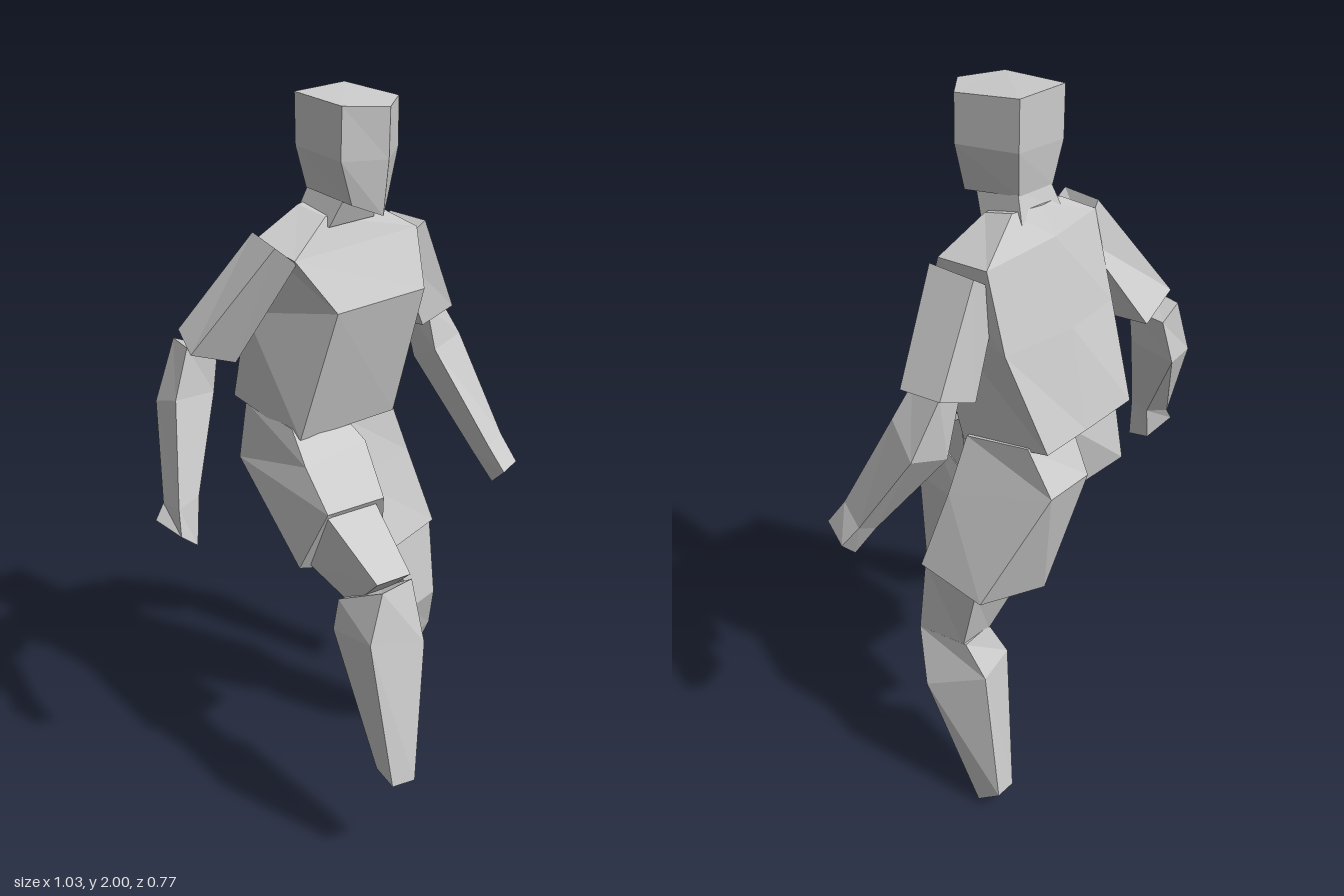
import * as THREE from 'three';

const grey = new THREE.MeshStandardMaterial({ color: 0xcccccc, flatShading: true });
grey.name = 'plain grey';

// Closed faceted solid through rings of corners, listed from top to bottom.
// Each ring runs front right, front left, back left, back right.
function loft(name, rings) {
  const pos = [];
  const tri = (a, b, c) => pos.push(...a, ...b, ...c);
  const n = rings[0].length;
  for (let r = 0; r < rings.length - 1; r++) {
    for (let i = 0; i < n; i++) {
      const j = (i + 1) % n;
      const [a, b, c, d] = [rings[r][i], rings[r][j], rings[r + 1][i], rings[r + 1][j]];
      tri(a, c, d);
      tri(a, d, b);
    }
  }
  const top = rings[0], end = rings[rings.length - 1];
  for (let i = 1; i < n - 1; i++) {
    tri(top[0], top[i], top[i + 1]);
    tri(end[0], end[i + 1], end[i]);
  }
  const geo = new THREE.BufferGeometry();
  geo.setAttribute('position', new THREE.Float32BufferAttribute(pos, 3));
  geo.computeVertexNormals();
  const mesh = new THREE.Mesh(geo, grey);
  mesh.name = name;
  return mesh;
}

function part(name, ...meshes) {
  const g = new THREE.Group();
  g.name = name;
  g.add(...meshes);
  return g;
}

export function createModel() {
  // Head with a ridge down the face, on a short neck
  const head = loft('head', [
    [[-0.08, 1.985, -0.01], [0.025, 1.98, 0.05], [0.125, 1.985, -0.03], [0.095, 2, -0.205], [-0.075, 1.995, -0.2]],
    [[-0.085, 1.85, -0.01], [0.025, 1.85, 0.045], [0.125, 1.86, -0.03], [0.095, 1.87, -0.205], [-0.075, 1.86, -0.2]],
    [[-0.05, 1.735, -0.01], [0.02, 1.705, 0.03], [0.09, 1.735, -0.03], [0.075, 1.755, -0.19], [-0.05, 1.75, -0.19]],
  ]);
  const neck = loft('neck', [
    [[-0.04, 1.76, -0.04], [0.075, 1.76, -0.05], [0.075, 1.77, -0.185], [-0.04, 1.77, -0.185]],
    [[-0.07, 1.67, -0.075], [0.09, 1.67, -0.085], [0.09, 1.68, -0.215], [-0.07, 1.68, -0.21]],
  ]);

  // Torso: collar, shoulders, chest crease, waist, with a spine corner at the back
  const torso = loft('torso', [
    [[-0.07, 1.695, -0.09], [0.1, 1.7, -0.105], [0.1, 1.72, -0.19], [0.01, 1.72, -0.21], [-0.08, 1.71, -0.19]],
    [[-0.2, 1.61, -0.055], [0.235, 1.62, -0.075], [0.235, 1.63, -0.23], [0.01, 1.65, -0.25], [-0.21, 1.64, -0.2]],
    [[-0.115, 1.47, 0.01], [0.2, 1.47, -0.005], [0.225, 1.42, -0.28], [0, 1.42, -0.305], [-0.19, 1.42, -0.28]],
    [[-0.165, 1.105, -0.09], [0.175, 1.1, -0.1], [0.16, 1.15, -0.365], [0, 1.15, -0.36], [-0.18, 1.16, -0.36]],
  ]);

  // Right arm, held out and back
  const rightArm = part('rightArm',
    loft('rightSleeve', [
      [[-0.25, 1.65, -0.07], [-0.19, 1.6, -0.06], [-0.17, 1.57, -0.2], [-0.22, 1.66, -0.2]],
      [[-0.4, 1.36, -0.24], [-0.28, 1.32, -0.21], [-0.25, 1.35, -0.35], [-0.37, 1.4, -0.335]],
    ]),
    loft('rightForearm', [
      [[-0.39, 1.37, -0.27], [-0.31, 1.34, -0.25], [-0.3, 1.34, -0.365], [-0.37, 1.37, -0.36]],
      [[-0.44, 1.24, -0.26], [-0.325, 1.24, -0.25], [-0.325, 1.22, -0.385], [-0.435, 1.21, -0.36]],
      [[-0.495, 0.97, -0.19], [-0.43, 0.99, -0.19], [-0.42, 0.98, -0.25], [-0.49, 0.96, -0.27]],
    ]),
    loft('rightHand', [
      [[-0.495, 0.97, -0.19], [-0.43, 0.99, -0.19], [-0.42, 0.98, -0.25], [-0.49, 0.96, -0.27]],
      [[-0.505, 0.9, -0.17], [-0.455, 0.86, -0.17], [-0.445, 0.88, -0.24], [-0.52, 0.92, -0.265]],
    ]));

  // Left arm, bent forward
  const leftArm = part('leftArm',
    loft('leftSleeve', [
      [[0.18, 1.56, -0.1], [0.28, 1.625, -0.09], [0.28, 1.625, -0.23], [0.18, 1.56, -0.22]],
      [[0.295, 1.32, -0.11], [0.415, 1.35, -0.115], [0.41, 1.36, -0.24], [0.29, 1.31, -0.245]],
    ]),
    loft('leftForearm', [
      [[0.33, 1.36, -0.13], [0.39, 1.36, -0.13], [0.4, 1.36, -0.23], [0.33, 1.34, -0.23]],
      [[0.335, 1.24, -0.1], [0.43, 1.27, -0.1], [0.465, 1.2, -0.195], [0.37, 1.18, -0.225]],
      [[0.41, 0.97, 0.05], [0.47, 0.99, 0.04], [0.49, 0.95, -0.03], [0.43, 0.92, -0.03]],
    ]),
    loft('leftHand', [
      [[0.41, 0.97, 0.05], [0.47, 0.99, 0.04], [0.49, 0.95, -0.03], [0.43, 0.92, -0.03]],
      [[0.425, 0.9, 0.1], [0.485, 0.915, 0.09], [0.515, 0.89, 0.01], [0.46, 0.835, 0.02]],
    ]));

  // Right leg, lifted forward; the shorts have an extra corner underneath
  const rightLeg = part('rightLeg',
    loft('rightShortsLeg', [
      [[-0.17, 1.13, -0.12], [0.02, 1.11, -0.12], [0.02, 1.14, -0.25], [0.02, 1.15, -0.32], [-0.17, 1.15, -0.32]],
      [[-0.19, 1.05, -0.04], [0.02, 1.07, -0.04], [0.03, 0.95, -0.18], [0, 0.91, -0.28], [-0.18, 0.98, -0.345]],
      [[-0.24, 0.98, 0.11], [-0.06, 0.98, 0.125], [0.02, 0.8, 0.03], [-0.08, 0.74, 0.01], [-0.265, 0.8, 0.02]],
    ]),
    loft('rightKnee', [
      [[-0.235, 0.975, 0.09], [-0.075, 0.975, 0.1], [-0.09, 0.8, 0.02], [-0.23, 0.8, 0.02]],
      [[-0.23, 0.845, 0.29], [-0.125, 0.845, 0.3], [-0.115, 0.74, 0.18], [-0.22, 0.74, 0.18]],
    ]),
    loft('rightCalf', [
      [[-0.23, 0.83, 0.31], [-0.12, 0.83, 0.3], [-0.11, 0.75, 0.17], [-0.25, 0.76, 0.16]],
      [[-0.28, 0.7, 0.32], [-0.115, 0.66, 0.345], [-0.1, 0.64, 0.16], [-0.26, 0.67, 0.15]],
      [[-0.25, 0.285, 0.375], [-0.185, 0.285, 0.39], [-0.165, 0.3, 0.295], [-0.24, 0.3, 0.3]],
    ]));

  // Left leg, standing
  const leftLeg = part('leftLeg',
    loft('leftShortsLeg', [
      [[0, 1.12, -0.12], [0.185, 1.12, -0.12], [0.17, 1.15, -0.31], [0, 1.15, -0.31]],
      [[0, 0.95, -0.08], [0.235, 0.96, -0.1], [0.165, 1.03, -0.385], [0, 1.02, -0.37]],
      [[0.115, 0.72, -0.02], [0.29, 0.74, -0.05], [0.28, 0.7, -0.25], [0.065, 0.66, -0.29]],
    ]),
    loft('leftKnee', [
      [[0.12, 0.74, -0.03], [0.285, 0.745, -0.06], [0.275, 0.72, -0.23], [0.11, 0.7, -0.25]],
      [[0.165, 0.505, -0.01], [0.28, 0.515, -0.03], [0.27, 0.52, -0.18], [0.165, 0.52, -0.18]],
    ]),
    loft('leftCalf', [
      [[0.165, 0.505, -0.01], [0.28, 0.515, -0.03], [0.27, 0.53, -0.19], [0.165, 0.53, -0.18]],
      [[0.165, 0.36, -0.05], [0.32, 0.37, -0.09], [0.27, 0.45, -0.26], [0.11, 0.42, -0.2]],
      [[0.22, 0, -0.24], [0.28, 0.01, -0.245], [0.28, 0.07, -0.32], [0.21, 0.06, -0.31]],
    ]));

  return part('figure', head, neck, torso, rightArm, leftArm, rightLeg, leftLeg);
}
